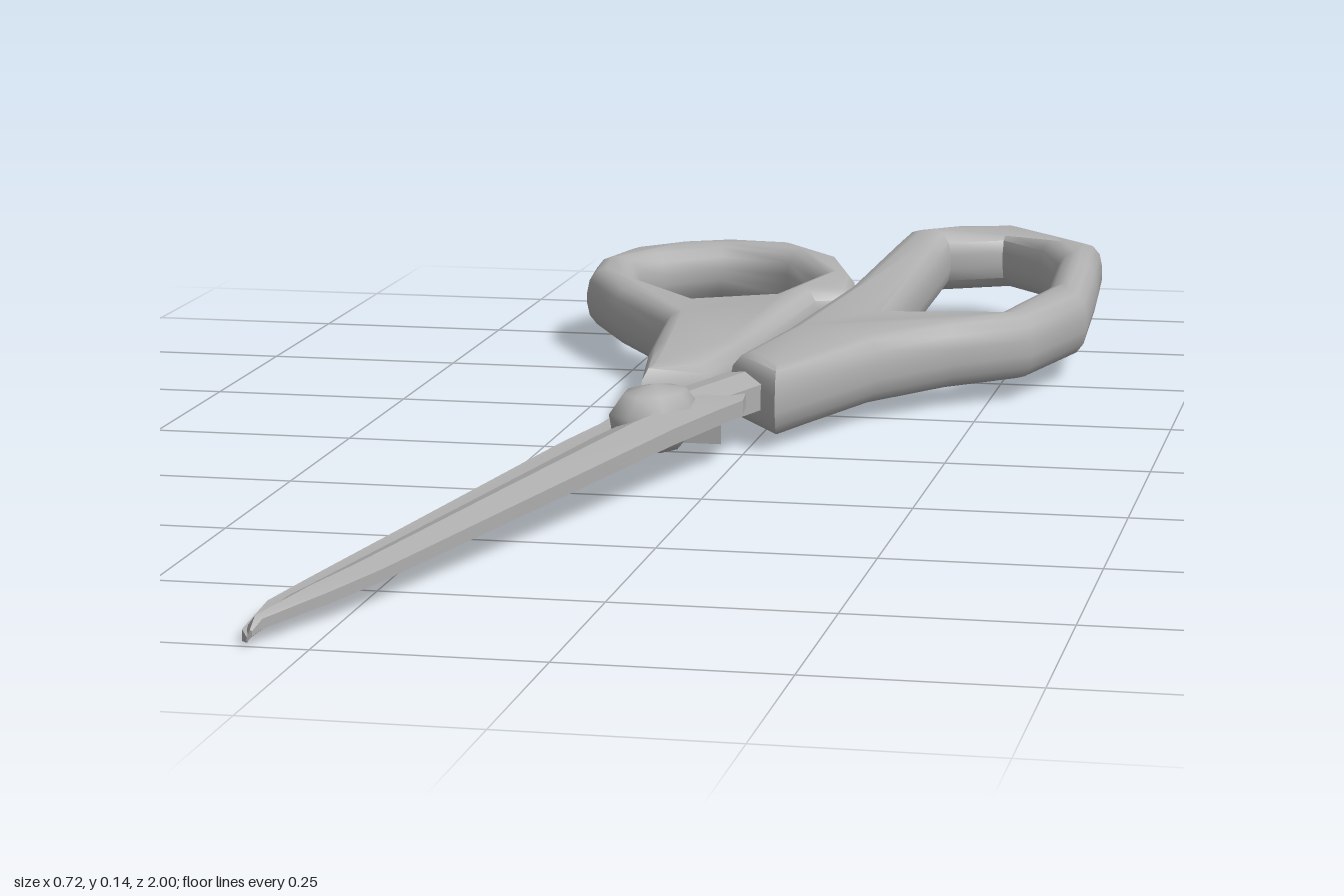
import * as THREE from 'three';
import { toCreasedNormals } from 'three/addons/utils/BufferGeometryUtils.js';

const grey = new THREE.MeshStandardMaterial({ color: 0xb0b0b0 });
grey.name = 'grey';

function add(group, name, geometry, crease = 0.9) {
  const flat = geometry.index ? geometry.toNonIndexed() : geometry;
  const mesh = new THREE.Mesh(toCreasedNormals(flat, crease), grey);
  mesh.name = name;
  group.add(mesh);
  return mesh;
}

// Skin between rings of points; rings run counter-clockwise seen from +z, ordered towards +z
function loft(rings) {
  const n = rings[0].length, index = [], last = (rings.length - 1) * n;
  for (let i = 0; i < rings.length - 1; i++) {
    for (let j = 0; j < n; j++) {
      const a = i * n + j, b = i * n + (j + 1) % n;
      index.push(a, b, b + n, a, b + n, a + n);
    }
  }
  for (let j = 1; j < n - 1; j++) {
    index.push(0, j + 1, j, last, last + j, last + j + 1);
  }
  const geometry = new THREE.BufferGeometry();
  geometry.setAttribute('position', new THREE.Float32BufferAttribute(rings.flat(2), 3));
  geometry.setIndex(index);
  return geometry;
}

// Rounded plate from [x, z] outlines (both clockwise from above), rising towards the back
function handle(outer, hole, base, rise, thickness) {
  const toPoints = list => list.map(([x, z]) => new THREE.Vector2(x, -z));
  const shape = new THREE.Shape(toPoints(outer));
  shape.holes.push(new THREE.Path(toPoints(hole).reverse()));
  const size = 0.026, height = 0.034;
  const geometry = new THREE.ExtrudeGeometry(shape, {
    depth: thickness - 2 * height, bevelThickness: height, bevelSize: size,
    bevelOffset: -size, bevelSegments: 3,
  });
  geometry.rotateX(-Math.PI / 2);
  const p = geometry.attributes.position;
  for (let i = 0; i < p.count; i++) {
    p.setY(i, p.getY(i) + height + base - rise * p.getZ(i));
  }
  return geometry;
}

export function createModel() {
  const model = new THREE.Group();
  model.name = 'scissors';

  // Finger loops with their shanks
  add(model, 'thumbHandle', handle(
    [[-0.36, -0.75], [-0.335, -0.84], [-0.27, -0.9], [-0.2, -0.93], [-0.1, -0.92], [-0.02, -0.83],
      [0.02, -0.71], [0.037, -0.585], [-0.01, -0.57], [-0.04, -0.23], [-0.06, -0.1],
      [-0.14, -0.05], [-0.165, -0.2], [-0.185, -0.39], [-0.285, -0.54], [-0.35, -0.66]],
    [[-0.295, -0.75], [-0.27, -0.8], [-0.2, -0.855], [-0.1, -0.83], [-0.035, -0.7],
      [-0.075, -0.55], [-0.16, -0.51], [-0.265, -0.63]],
    0.01, 0.024, 0.083), 1.1);
  add(model, 'fingerHandle', handle(
    [[0.045, -0.86], [0.05, -0.94], [0.12, -0.99], [0.215, -1], [0.34, -0.88], [0.348, -0.75],
      [0.357, -0.55], [0.305, -0.395], [0.215, -0.325], [0.13, -0.225], [0.035, -0.025],
      [-0.04, -0.12], [-0.005, -0.29], [0.03, -0.55]],
    [[0.12, -0.82], [0.12, -0.92], [0.19, -0.95], [0.25, -0.89], [0.285, -0.8], [0.295, -0.6],
      [0.25, -0.43], [0.115, -0.41]],
    0.012, 0.036, 0.088), 1.1);

  // Closed blades, low on the -x edge. Stations: z, left x, right x, bottom, top
  const stations = [
    [-0.02, -0.13, 0.0, 0.035, 0.078], [0.04, -0.148, 0.008, 0.032, 0.082],
    [0.1, -0.155, -0.01, 0.03, 0.082], [0.2, -0.18, -0.043, 0.027, 0.078],
    [0.5, -0.247, -0.136, 0.016, 0.06], [0.8, -0.314, -0.23, 0.006, 0.041],
    [0.88, -0.331, -0.26, 0.003, 0.036], [0.98, -0.327, -0.305, 0, 0.028],
    [1, -0.316, -0.31, 0.004, 0.018],
  ];
  // A cross-section is given as fractions across and up each station
  const blade = section => loft(stations.map(([z, l, r, b, t]) => section.map(
    ([u, v]) => [THREE.MathUtils.lerp(l, r, u), THREE.MathUtils.lerp(b, t, v), z])));
  add(model, 'lowerBlade', blade(
    [[0, 0], [0.25, 0.05], [0.5, 0.35], [1, 0.5], [1, 0.75], [0.3, 0.45], [0, 0.45]]), 0.4);
  add(model, 'upperBlade', blade(
    [[0.2, 0.35], [1, 0.65], [1, 0.88], [0.65, 1], [0.3, 0.62]]), 0.4);

  // Crossing tangs joining blades to handles: back end, front end as [x, z], height
  const tang = (x0, z0, x1, z1, y, w) => loft([[x0, z0], [x1, z1]].map(([x, z]) => [
    [x - w, y - 0.02, z], [x + w, y - 0.02, z], [x + w, y + 0.012, z],
    [x, y + 0.02, z], [x - w, y + 0.012, z],
  ]));
  add(model, 'upperTang', tang(0, -0.14, -0.07, 0.07, 0.065, 0.04), 0.4);
  add(model, 'lowerTang', tang(-0.09, -0.12, -0.05, 0.06, 0.045, 0.035), 0.4);

  // Domed pivot showing above and below the blades
  const pivot = add(model, 'pivot', new THREE.LatheGeometry([
    [0, 0], [0.03, 0.004], [0.048, 0.025], [0.052, 0.05], [0.036, 0.073], [0, 0.082],
  ].map(([x, y]) => new THREE.Vector2(x, y)), 8), 1.1);
  pivot.position.set(-0.088, 0.023, 0.1);
  pivot.rotation.y = -0.25;
  pivot.scale.z = 1.35;

  return model;
}
